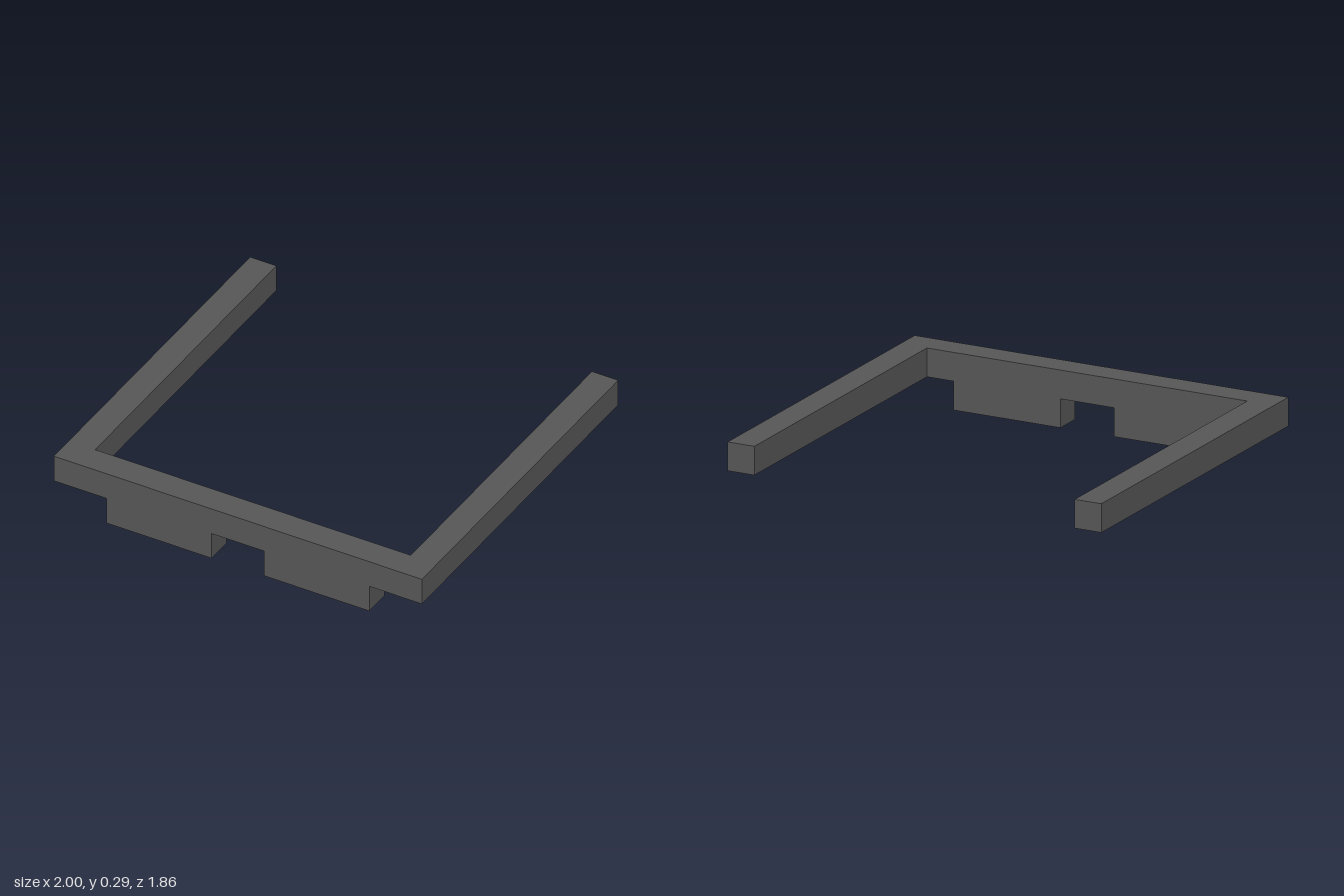
import * as THREE from 'three';

const U = 1 / 7; // bar thickness; every size is a multiple of it

export function createModel() {
  const model = new THREE.Group();
  const material = new THREE.MeshStandardMaterial({ color: 0x555555, flatShading: true });

  const add = (name, geometry) => {
    const mesh = new THREE.Mesh(geometry, material);
    mesh.name = name;
    model.add(mesh);
    return mesh;
  };

  // U-shaped frame: front rail and two arms in one piece, open at the back
  const outline = [[-7, -6.5], [7, -6.5], [7, 6.5], [6, 6.5], [6, -5.5], [-6, -5.5], [-6, 6.5], [-7, 6.5]];
  const shape = new THREE.Shape(outline.map(([x, y]) => new THREE.Vector2(x * U, y * U)));
  const frame = new THREE.ExtrudeGeometry(shape, { depth: U, bevelEnabled: false });
  frame.rotateX(-Math.PI / 2); // shape y becomes -z, thickness becomes height
  add('frame', frame).position.y = U;

  // Two feet under the front rail
  for (const [name, side] of [['leftFoot', 1], ['rightFoot', -1]]) {
    add(name, new THREE.BoxGeometry(4 * U, U, U)).position.set(side * 3 * U, U / 2, 6 * U);
  }

  return model;
}
